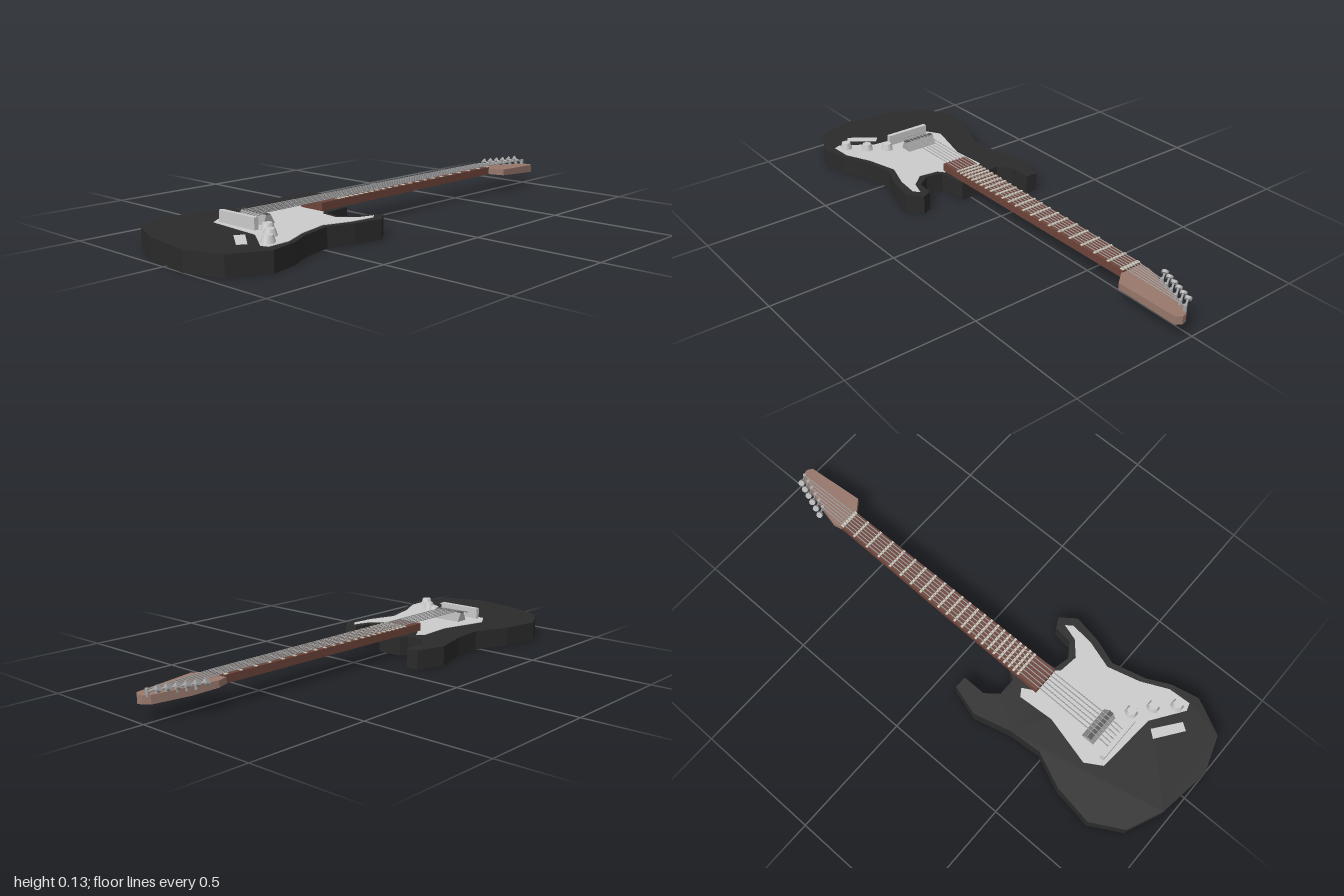
import * as THREE from 'three';

const mat = (name, color, side = THREE.FrontSide) => {
  const m = new THREE.MeshStandardMaterial({ color, side });
  m.name = name;
  return m;
};

export function createModel() {
  const group = new THREE.Group();
  const black = mat('bodyBlack', 0x2b2b2b);
  const pale = mat('paleGrey', 0xcccccc);
  const metal = mat('metalGrey', 0xa8a8a8);
  const dark = mat('saddleGrey', 0x585858);
  const neckBrown = mat('neckBrown', 0x6e453b);
  const headBrown = mat('headBrown', 0x98786c);
  const cream = mat('fretCream', 0xcfc8b8);

  const add = (name, geo, material, parent = group) => {
    const mesh = new THREE.Mesh(geo, material);
    mesh.name = name;
    parent.add(mesh);
    return mesh;
  };
  const sub = (name) => {
    const g = new THREE.Group();
    g.name = name;
    group.add(g);
    return g;
  };

  // Horizontal slab from an outline of [x, z] points
  const slab = (pts, y, h) => {
    const shape = new THREE.Shape(pts.map(([x, z]) => new THREE.Vector2(x, -z)));
    return new THREE.ExtrudeGeometry(shape, { depth: h, bevelEnabled: false })
      .rotateX(-Math.PI / 2).translate(0, y, 0);
  };

  // Thin round bar between two points
  const rod = (name, a, b, r, material, parent, sides = 5) => {
    const d = b.clone().sub(a);
    const mesh = add(name, new THREE.CylinderGeometry(r, r, d.length(), sides), material, parent);
    mesh.position.copy(a).addScaledVector(d, 0.5);
    mesh.quaternion.setFromUnitVectors(new THREE.Vector3(0, 1, 0), d.normalize());
    return mesh;
  };
  const V = (x, y, z) => new THREE.Vector3(x, y, z);

  // Body with two horns and the neck heel
  add('body', slab([
    [-0.25, 0.085], [-0.2, 0.085], [-0.2, 0.18], [-0.16, 0.23], [-0.085, 0.23], [-0.07, 0.2],
    [0.04, 0.2], [0.055, 0.32], [0.12, 0.335], [0.175, 0.295], [0.185, 0.22], [0.225, 0.2],
    [0.27, 0.26], [0.25, 0.375], [0.215, 0.475], [0.25, 0.61], [0.295, 0.7], [0.32, 0.81],
    [0.25, 0.95], [0.105, 1], [-0.11, 0.97], [-0.25, 0.91], [-0.32, 0.785], [-0.295, 0.625],
    [-0.235, 0.485], [-0.245, 0.355], [-0.285, 0.205],
  ], 0, 0.076), black);

  // Pickguard and output plate
  add('pickguard', slab([
    [-0.12, 0.295], [-0.09, 0.275], [-0.065, 0.32], [0.04, 0.32], [0.06, 0.345], [0.14, 0.355],
    [0.195, 0.305], [0.215, 0.24], [0.235, 0.265], [0.225, 0.36], [0.19, 0.47], [0.225, 0.6],
    [0.275, 0.705], [0.28, 0.795], [0.25, 0.805], [0.125, 0.72], [-0.12, 0.7], [-0.16, 0.635],
    [-0.11, 0.44],
  ], 0.076, 0.002), pale);
  add('outputPlate', slab([[0.08, 0.775], [0.105, 0.745], [0.205, 0.82], [0.185, 0.85]], 0.076, 0.002), pale);

  // Control knobs
  for (const [x, z] of [[0.108, 0.65], [0.177, 0.7], [0.241, 0.765]]) {
    const knob = add('knob', new THREE.CylinderGeometry(0.019, 0.027, 0.027, 6), pale);
    knob.rotation.y = Math.PI / 6;
    knob.position.set(x, 0.0905, z);
  }

  // Bridge: upright tailpiece, wedge and saddle strip
  add('tailpiece', new THREE.BoxGeometry(0.188, 0.046, 0.018), pale).position.set(-0.012, 0.099, 0.677);
  const wedge = new THREE.Shape([[-0.62, 0.077], [-0.565, 0.077], [-0.585, 0.113], [-0.605, 0.113]]
    .map(([a, b]) => new THREE.Vector2(a, b)));
  add('bridge', new THREE.ExtrudeGeometry(wedge, { depth: 0.134, bevelEnabled: false })
    .rotateY(Math.PI / 2).translate(-0.084, 0, 0), metal);
  add('saddleStrip', new THREE.BoxGeometry(0.134, 0.003, 0.018), dark).position.set(-0.017, 0.1135, 0.596);

  // Tapered neck
  const nutZ = -0.7, endZ = 0.33;
  const edge = (z) => {
    const t = (z - nutZ) / (endZ - nutZ);
    return [-0.056 - 0.014 * t, 0.028 + 0.012 * t];
  };
  const [nl, nr] = edge(nutZ), [el, er] = edge(endZ);
  add('neck', slab([[nl, nutZ], [nr, nutZ], [er, endZ], [el, endZ]], 0.081, 0.031), neckBrown);

  // Frets spaced by the twelfth root of two, plus the nut
  const frets = sub('frets');
  for (let n = 0; n <= 22; n++) {
    const z = 0.6 - 1.3 * 2 ** (-n / 12);
    const [l, r] = edge(z);
    add(n ? 'fret' : 'nut', new THREE.BoxGeometry(r - l, 0.004, n ? 0.009 : 0.014), cream, frets)
      .position.set((l + r) / 2, 0.113, z + (n ? 0 : 0.007));
  }

  // Headstock, tilted back towards its tip
  const headGeo = slab([
    [nl, -0.695], [-0.064, -0.735], [-0.04, -0.83], [0.0, -0.965], [0.02, -0.985], [0.042, -0.99],
    [0.062, -0.975], [0.08, -0.735], [nr, -0.695],
  ], 0, 1);
  const p = headGeo.attributes.position;
  for (let i = 0; i < p.count; i++) {
    const t = (-0.695 - p.getZ(i)) / 0.295;
    p.setY(i, p.getY(i) > 0.5 ? 0.104 - 0.014 * t : 0.081 - 0.022 * Math.min(1, t * 1.5));
  }
  headGeo.computeVertexNormals();
  add('headstock', headGeo, headBrown);

  // Tuners along the slanted edge, and the strings running to them
  const tuners = sub('tuners'), strings = sub('strings');
  for (let i = 0; i < 6; i++) {
    const t = i / 5;
    const x = -0.042 + 0.055 * t, z = -0.815 - 0.155 * t;
    const top = V(x, 0.113, z);
    rod('tunerPost', V(x, 0.085, z), top, 0.007, metal, tuners, 8);
    const tip = V(x - 0.03, 0.114, z + 0.016);
    rod('tunerShaft', V(x, 0.1, z), tip, 0.004, metal, tuners, 6);
    const key = add('tunerKey', new THREE.CylinderGeometry(0.013, 0.013, 0.011, 8), metal, tuners);
    key.position.copy(tip).add(V(-0.004, 0, 0.002));
    key.rotation.set(0, 0.5, 0.9);

    const bx = -0.058 + 0.086 * t, nx = -0.046 + 0.064 * t;
    const path = [V(bx, 0.1, 0.67), V(bx, 0.117, 0.6), V(nx, 0.117, nutZ), V(x, 0.108, z)];
    for (let k = 0; k < 3; k++) rod('string', path[k], path[k + 1], 0.0022, metal, strings, 4);
  }

  return group;
}
